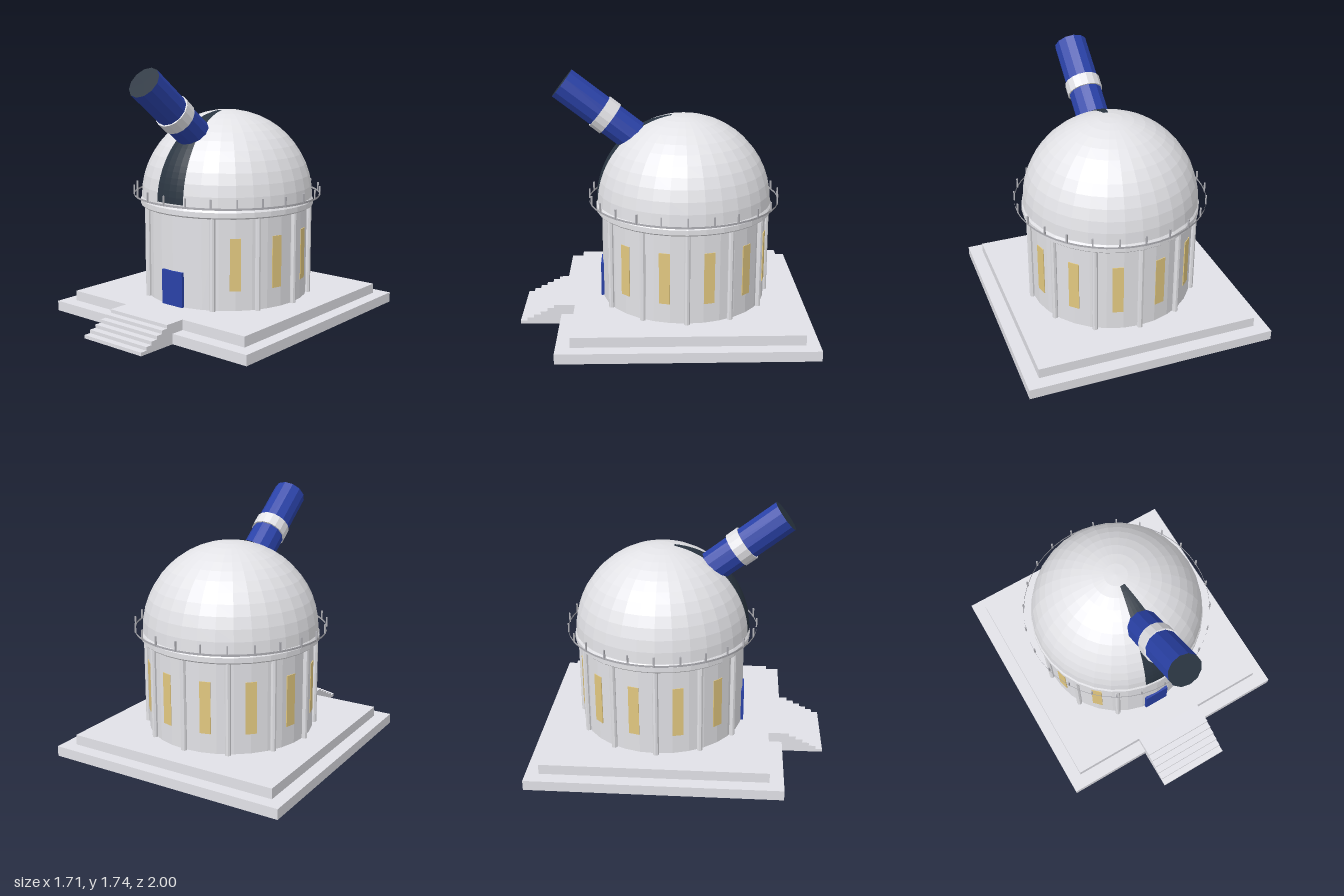
import * as THREE from 'three';

export function createModel() {
  const model = new THREE.Group();
  model.name = 'observatory';

  const mat = (name, color, side = THREE.FrontSide) =>
    new THREE.MeshStandardMaterial({ name, color, side, flatShading: true });
  const stone = mat('stone', 0xe2e2e8, THREE.DoubleSide);
  const plaster = mat('plaster', 0xe2e2e6);
  const blue = mat('blue', 0x2a42a8);
  const dark = mat('darkOpening', 0x2a3541, THREE.DoubleSide);
  const gold = mat('windowGold', 0xe2c880);
  const metal = mat('railMetal', 0xb0b0b6, THREE.DoubleSide);

  const CZ = -0.1425; // centre line of the round building

  function add(parent, name, geometry, material, x = 0, y = 0, z = 0) {
    const mesh = new THREE.Mesh(geometry, material);
    mesh.name = name;
    mesh.position.set(x, y, z);
    parent.add(mesh);
    return mesh;
  }

  // Box without its underside (the fourth face of a box)
  function openBox(w, h, d) {
    const box = new THREE.BoxGeometry(w, h, d);
    box.setIndex(Array.from(box.index.array).filter((_, i) => i < 18 || i >= 24));
    box.clearGroups();
    return box;
  }

  // Two-stage square plinth, hollow below
  add(model, 'lowerPlinth', openBox(1.71, 0.07, 1.715), stone, 0, 0.035, CZ);
  add(model, 'upperPlinth', openBox(1.53, 0.07, 1.53), stone, 0, 0.105, CZ - 0.0025);

  // Entrance steps, each reaching back under the plinth to the drum
  const stepCount = 6, stepBack = 0.42;
  for (let i = 1; i <= stepCount; i++) {
    const h = (0.14 * i) / stepCount;
    const front = 1 - (i - 1) * 0.047;
    add(model, 'step', openBox(0.514, h, front - stepBack), stone, 0, h / 2, (front + stepBack) / 2);
  }

  // Everything round shares one centre
  const building = new THREE.Group();
  building.name = 'roundBuilding';
  building.position.z = CZ;
  model.add(building);

  add(building, 'drumWall', new THREE.CylinderGeometry(0.572, 0.572, 0.68, 32), plaster, 0, 0.48, 0);

  function addAround(name, geometry, material, degrees, radius, y) {
    const a = THREE.MathUtils.degToRad(degrees);
    const mesh = add(building, name, geometry, material, radius * Math.sin(a), y, radius * Math.cos(a));
    mesh.rotation.y = a;
  }

  // Slim columns everywhere but at the door, windows between them
  const column = new THREE.CylinderGeometry(0.02, 0.02, 0.64, 8);
  for (let k = 1; k <= 11; k++) addAround('column', column, plaster, k * 30, 0.582, 0.46);
  const pane = new THREE.BoxGeometry(0.074, 0.355, 0.009);
  for (let k = 1; k <= 10; k++) addAround('window', pane, gold, k * 30 + 15, 0.57, 0.453);

  add(building, 'door', new THREE.BoxGeometry(0.18, 0.24, 0.04), blue, 0, 0.26, 0.563);

  // Chamfered cornice
  const corniceProfile = [[0.55, 0.764], [0.6, 0.764], [0.611, 0.774], [0.611, 0.808], [0.6, 0.825], [0.55, 0.825]]
    .map(([r, y]) => new THREE.Vector2(r, y));
  add(building, 'cornice', new THREE.LatheGeometry(corniceProfile, 32), plaster);

  // Dome with its dark tapering slit
  add(building, 'dome',
    new THREE.SphereGeometry(0.603, 32, 12, 0, Math.PI * 2, 0, Math.PI / 2), plaster, 0, 0.828, 0);
  const slitHalf = THREE.MathUtils.degToRad(11), slitTop = 0.14, slitBottom = 1.543;
  add(building, 'domeSlit',
    new THREE.SphereGeometry(0.607, 4, 20, Math.PI / 2 - slitHalf, slitHalf * 2, slitTop, slitBottom - slitTop),
    dark, 0, 0.828, 0);

  // Gallery rail: thin hoop and short posts
  add(building, 'railHoop', new THREE.CylinderGeometry(0.658, 0.658, 0.014, 48, 1, true), metal, 0, 0.841, 0);
  const post = new THREE.BoxGeometry(0.01, 0.066, 0.01);
  for (let k = 0; k < 24; k++) addAround('railPost', post, metal, k * 15, 0.656, 0.871);

  // Telescope, built along its own y axis with the front end at the origin
  const telescope = new THREE.Group();
  telescope.name = 'telescope';
  telescope.position.set(0, 1.649, 0.682);
  telescope.rotation.x = 0.914;
  model.add(telescope);
  const tubeLength = 0.66;
  add(telescope, 'telescopeTube', new THREE.CylinderGeometry(0.115, 0.115, tubeLength, 12),
    [blue, dark, blue], 0, -tubeLength / 2, 0);
  add(telescope, 'telescopeBand', new THREE.CylinderGeometry(0.124, 0.124, 0.09, 16), plaster, 0, -0.36, 0);

  return model;
}
